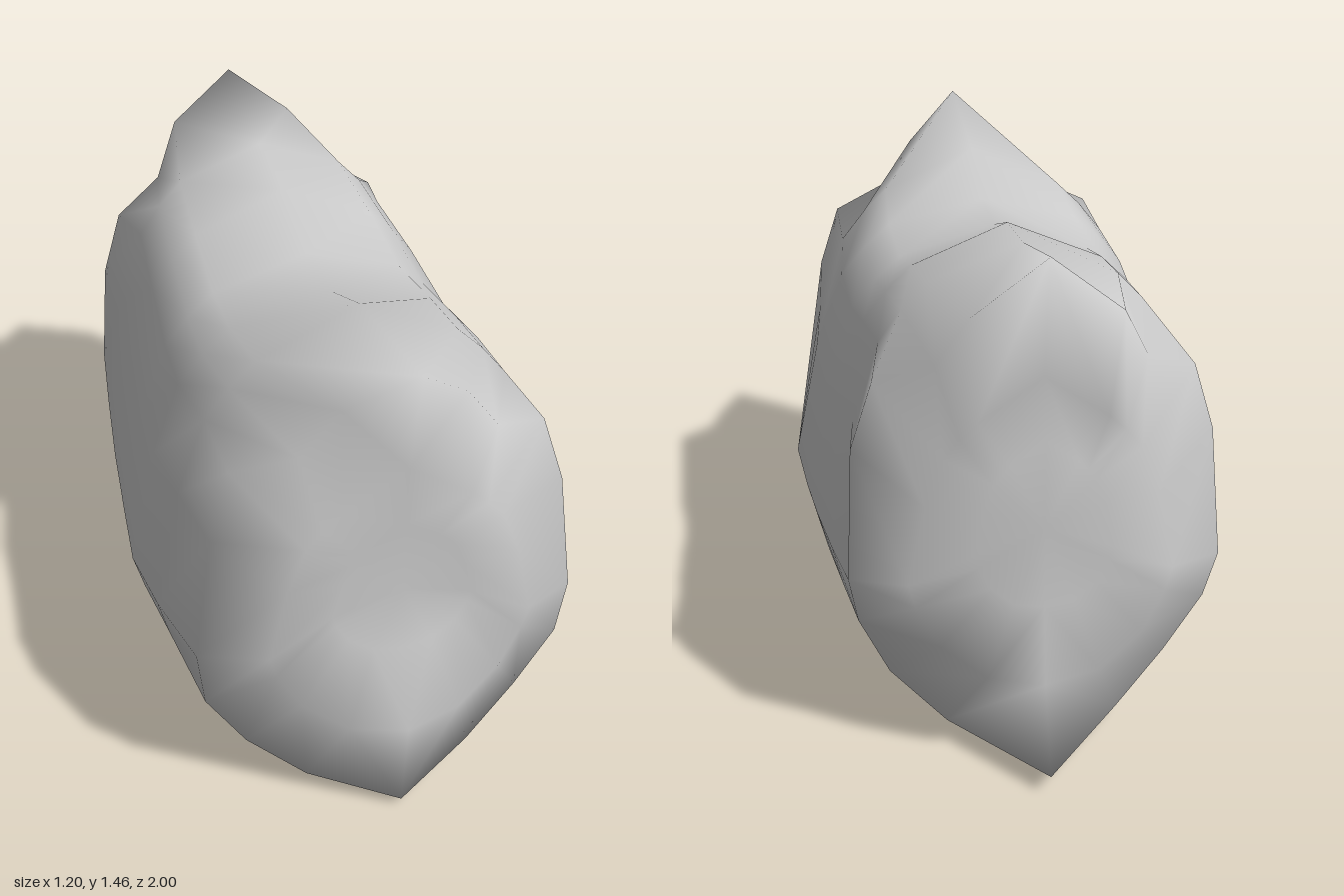
import * as THREE from 'three';

// Shared half outline, bottom to top: [width share, height share, bottom pull]
const profile = [
  [0, 0, 1], [0.43, 0.022, 0.6], [0.77, 0.125, 0.18], [0.95, 0.26, 0], [1, 0.34, 0],
  [0.87, 0.6, 0], [0.73, 0.755, 0], [0.61, 0.815, 0], [0.48, 0.865, 0], [0, 1, 0],
];

// Half outlines of the pinched front and back rims: [x, y, z]
const frontRim = [
  [0, 0.03, 0.97], [0.24, 0.07, 0.84], [0.4, 0.2, 0.79], [0.51, 0.38, 0.79], [0.53, 0.56, 0.8],
  [0.48, 0.93, 0.79], [0.42, 1.12, 0.77], [0.26, 1.18, 0.84], [0.16, 1.32, 0.87], [0, 1.46, 0.98],
];
const backRim = [
  [0, 0.06, -1], [0.24, 0.06, -0.7], [0.39, 0.19, -0.63], [0.475, 0.4, -0.7], [0.5, 0.55, -0.74],
  [0.48, 0.9, -0.69], [0.42, 1.09, -0.7], [0.27, 1.16, -0.79], [0.19, 1.31, -0.87], [0, 1.46, -0.89],
];

// Half cross-section; the shoulder height shapes the sides, the ridge sets the top point
function section(z, width, bottom, ridge, shoulder = ridge, bottomShift = 0) {
  return profile.map(([x, y, pull]) => [
    x * width,
    bottom + ((y === 1 ? ridge : shoulder) - bottom) * y,
    z + bottomShift * pull,
  ]);
}

// Front to back: front face rings, rim, body with a saddle, rim, back face rings
const sections = [
  section(0.91, 0.19, 0.57, 0.97, 0.97, 0.02),
  section(0.915, 0.36, 0.33, 1.15, 1.15, 0.085),
  frontRim,
  section(0.5, 0.575, 0.01, 1.38, 1.45),
  section(0.26, 0.6, 0, 1.28, 1.4),
  section(0.02, 0.58, 0, 1.27, 1.37),
  section(-0.23, 0.56, 0.01, 1.35, 1.43),
  section(-0.5, 0.53, 0.025, 1.375, 1.475),
  backRim,
  section(-0.83, 0.35, 0.28, 1.13, 1.13, -0.07),
  section(-0.86, 0.18, 0.5, 0.97, 0.97, -0.01),
];

function bodyGeometry() {
  const positions = [], index = [];
  for (const half of sections) {
    const mirrored = half.slice(1, -1).reverse().map(([x, y, z]) => [-x, y, z]);
    positions.push(...half.flat(), ...mirrored.flat());
  }
  const n = profile.length * 2 - 2;
  // side walls
  for (let s = 0; s < sections.length - 1; s++) {
    for (let i = 0; i < n; i++) {
      const a = s * n + i, b = s * n + (i + 1) % n, c = a + n, d = b + n;
      // diagonals mirror left to right
      if (i < n / 2) index.push(a, c, b, b, c, d);
      else index.push(a, c, d, a, d, b);
    }
  }
  // end caps
  const front = positions.length / 3, back = front + 1, last = (sections.length - 1) * n;
  positions.push(0, 0.76, 0.91, 0, 0.73, -0.865);
  for (let i = 0; i < n; i++) {
    const j = (i + 1) % n;
    index.push(front, i, j, back, last + j, last + i);
  }
  const geometry = new THREE.BufferGeometry();
  geometry.setAttribute('position', new THREE.Float32BufferAttribute(positions, 3));
  geometry.setIndex(index);
  geometry.computeVertexNormals();
  return geometry;
}

export function createModel() {
  const model = new THREE.Group();
  const body = new THREE.Mesh(bodyGeometry(), new THREE.MeshStandardMaterial({ color: 0xcccccc }));
  body.name = 'body';
  model.add(body);
  return model;
}
